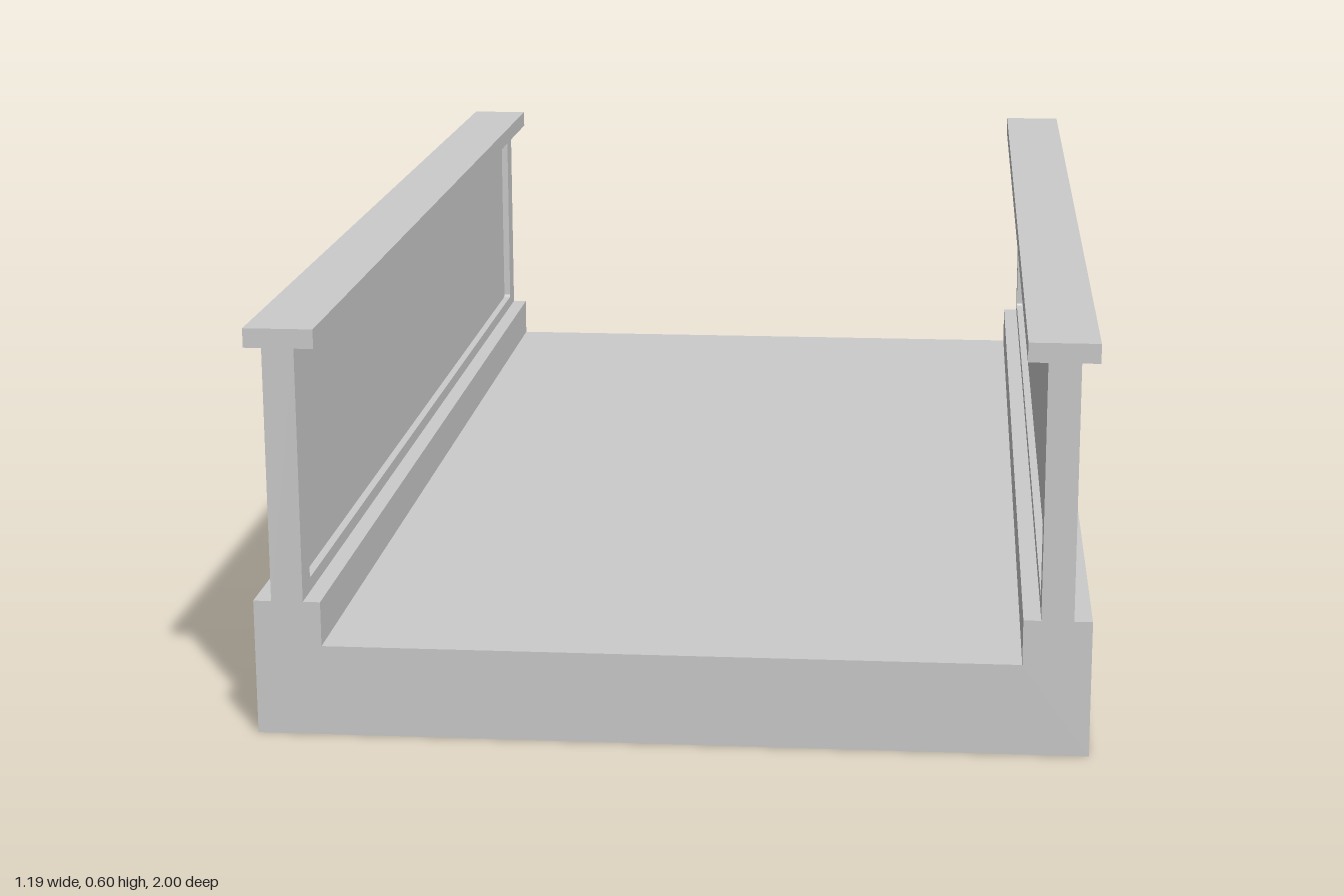
import * as THREE from 'three';

const LENGTH = 2;
const material = new THREE.MeshStandardMaterial({ color: 0xcccccc, flatShading: true });

function addPart(parent, name, geometry, x = 0, y = 0, z = 0) {
  const mesh = new THREE.Mesh(geometry, material);
  mesh.name = name;
  mesh.position.set(x, y, z);
  parent.add(mesh);
}

// Rectangle outline with slightly rounded corners
function roundedRect(path, x0, y0, x1, y1, r) {
  path.absarc(x1 - r, y0 + r, r, -Math.PI / 2, 0);
  path.absarc(x1 - r, y1 - r, r, 0, Math.PI / 2);
  path.absarc(x0 + r, y1 - r, r, Math.PI / 2, Math.PI);
  path.absarc(x0 + r, y0 + r, r, Math.PI, Math.PI * 1.5);
  path.closePath();
  return path;
}

export function createModel() {
  const group = new THREE.Group();
  group.name = 'bridgeSegment';

  // Deck slab with a raised curb along each side, swept along z
  const section = new THREE.Shape([
    [-0.597, 0], [0.597, 0], [0.597, 0.2], [0.5, 0.2],
    [0.5, 0.134], [-0.5, 0.134], [-0.5, 0.2], [-0.597, 0.2],
  ].map(([x, y]) => new THREE.Vector2(x, y)));
  const deck = new THREE.ExtrudeGeometry(section, { depth: LENGTH, bevelEnabled: false });
  addPart(group, 'deck', deck.translate(0, 0, -LENGTH / 2));

  // Parapet frame: a slab with one long window, closed by a thinner panel
  const thickness = 0.046;
  const outline = new THREE.Shape([
    new THREE.Vector2(-1, 0.2), new THREE.Vector2(1, 0.2),
    new THREE.Vector2(1, 0.572), new THREE.Vector2(-1, 0.572),
  ]);
  outline.holes.push(roundedRect(new THREE.Path(), -0.95, 0.22, 0.95, 0.555, 0.006));
  const frame = new THREE.ExtrudeGeometry(outline, {
    depth: thickness, bevelEnabled: false, curveSegments: 3,
  });
  frame.translate(0, 0, -thickness / 2).rotateY(Math.PI / 2);
  const panel = new THREE.BoxGeometry(0.022, 0.345, 1.91);
  const cap = new THREE.BoxGeometry(0.1, 0.028, LENGTH);

  for (const side of [1, -1]) {
    const parapet = new THREE.Group();
    parapet.name = side > 0 ? 'leftParapet' : 'rightParapet';
    addPart(parapet, 'parapetFrame', frame, side * 0.548);
    addPart(parapet, 'recessedPanel', panel, side * 0.548, 0.3875);
    addPart(parapet, 'copingCap', cap, side * 0.547, 0.586);
    group.add(parapet);
  }
  return group;
}
